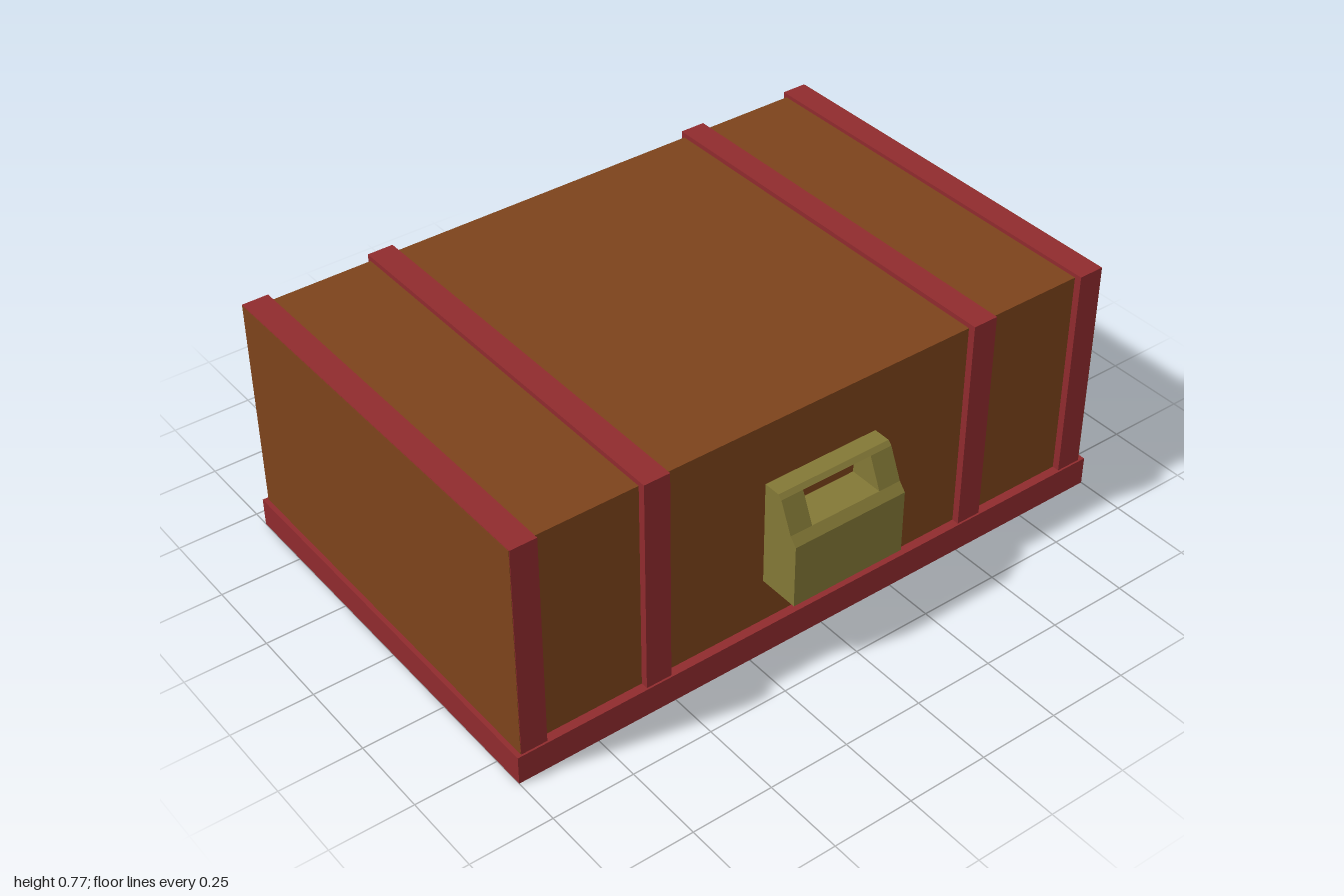
import * as THREE from 'three';

const wood = new THREE.MeshStandardMaterial({ color: 0x7d431b });
const trim = new THREE.MeshStandardMaterial({ color: 0x902b2e });
const brass = new THREE.MeshStandardMaterial({ color: 0x837836 });

// Box given by its extents on each axis
function box(name, material, [x0, x1], [y0, y1], [z0, z1]) {
  const mesh = new THREE.Mesh(new THREE.BoxGeometry(x1 - x0, y1 - y0, z1 - z0), material);
  mesh.position.set((x0 + x1) / 2, (y0 + y1) / 2, (z0 + z1) / 2);
  mesh.name = name;
  return mesh;
}

// Side profile of [z, y] points swept across x, with an optional hole
function sweep(name, material, points, x0, x1, hole) {
  const toVectors = (list) => list.map(([z, y]) => new THREE.Vector2(z, y));
  const shape = new THREE.Shape(toVectors(points));
  if (hole) shape.holes.push(new THREE.Path(toVectors(hole)));
  const geometry = new THREE.ExtrudeGeometry(shape, { depth: x1 - x0, bevelEnabled: false });
  geometry.rotateY(-Math.PI / 2).translate(x1, 0, 0);
  const mesh = new THREE.Mesh(geometry, material);
  mesh.name = name;
  return mesh;
}

const rect = (z0, z1, y0, y1) => [[z0, y0], [z1, y0], [z1, y1], [z0, y1]];

export function createModel() {
  const chest = new THREE.Group();
  chest.name = 'chest';

  // Wooden body with end panels that cover the outer straps
  chest.add(box('body', wood, [-0.975, 0.975], [0.006, 0.753], [-0.675, 0.572]));
  chest.add(box('leftEndPanel', wood, [0.97, 0.983], [0.05, 0.763], [-0.686, 0.592]));
  chest.add(box('rightEndPanel', wood, [-0.986, -0.97], [0.05, 0.763], [-0.686, 0.592]));

  // Straps wrapped around the body
  [[-0.945, 0.765], [-0.55, 0.768], [0.545, 0.768], [0.94, 0.765]].forEach(([x, top]) => {
    chest.add(sweep('strap', trim, rect(-0.688, 0.594, 0.002, top), x - 0.04, x + 0.04,
      rect(-0.66, 0.56, 0.02, 0.74)));
  });

  // Rim around the foot of the chest
  const rim = new THREE.Group();
  rim.name = 'baseRim';
  rim.add(box('frontRim', trim, [-1, 1], [0, 0.09], [0.572, 0.6]));
  rim.add(box('backRim', trim, [-1, 1], [0, 0.09], [-0.695, -0.675]));
  rim.add(box('leftRim', trim, [0.96, 1], [0, 0.09], [-0.675, 0.572]));
  rim.add(box('rightRim', trim, [-1, -0.96], [0, 0.09], [-0.675, 0.572]));
  chest.add(rim);

  // Clasp: a block below, two cheeks and a bar framing the open slot
  const clasp = new THREE.Group();
  clasp.name = 'clasp';
  const back = 0.57;
  clasp.add(sweep('claspBlock', brass,
    [[back, 0.23], [0.7, 0.23], [0.7, 0.43], [0.678, 0.455], [back, 0.455]], -0.187, 0.187));
  const cheek = [[back, 0.455], [0.678, 0.455], [0.637, 0.548], [back, 0.548]];
  clasp.add(sweep('claspCheek', brass, cheek, -0.187, -0.115));
  clasp.add(sweep('claspCheek', brass, cheek, 0.115, 0.187));
  clasp.add(sweep('claspBar', brass,
    [[back, 0.548], [0.637, 0.548], [0.625, 0.56], [back, 0.56]], -0.187, 0.187));
  chest.add(clasp);

  return chest;
}
